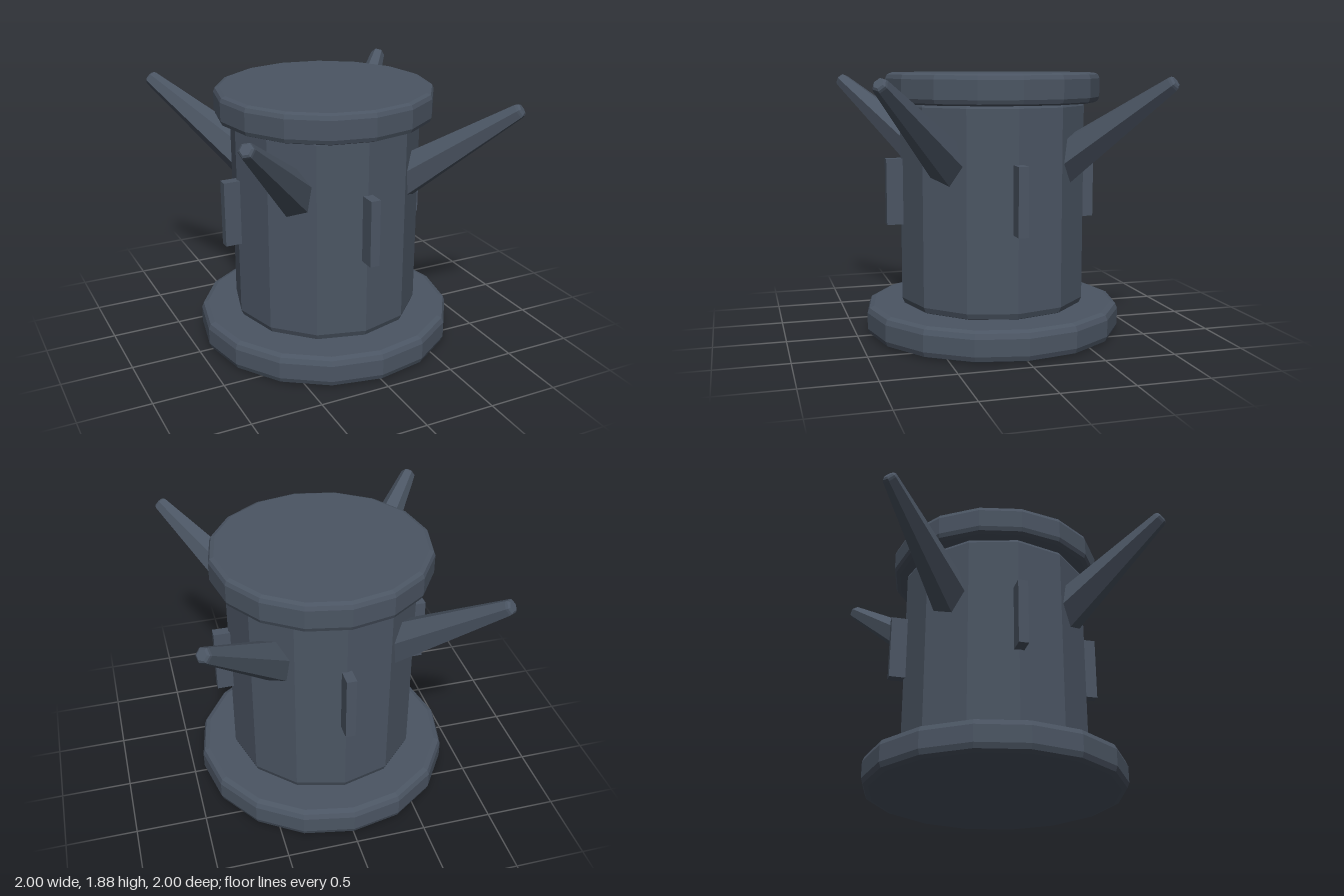
import * as THREE from 'three';

const slate = new THREE.MeshStandardMaterial({ color: 0x4b5563, flatShading: true });
slate.name = 'darkSlate';

function mesh(name, geometry) {
  const m = new THREE.Mesh(geometry, slate);
  m.name = name;
  return m;
}

// Faceted solid from [radius, y] points, bottom to top
function lathe(points, sides) {
  return new THREE.LatheGeometry(points.map(([r, y]) => new THREE.Vector2(r, y)), sides);
}

// Faceted drum with softly bevelled rims
function drum(r, y0, y1, sides, bevel = 0.05) {
  const b = bevel, k = bevel * 0.29;
  return lathe([
    [0, y0], [r - b, y0], [r - k, y0 + k], [r, y0 + b],
    [r, y1 - b], [r - k, y1 - k], [r - b, y1], [0, y1],
  ], sides);
}

export function createModel() {
  const model = new THREE.Group();
  model.name = 'spikedDrum';

  // Stacked drums
  model.add(mesh('base', drum(0.925, 0, 0.217, 16)));
  model.add(mesh('body', drum(0.67, 0.21, 1.7, 12, 0.055)));
  model.add(mesh('lid', drum(0.77, 1.665, 1.875, 16, 0.04)));

  // Four upright fins on the sides
  for (let i = 0; i < 4; i++) {
    const fin = mesh('fin', new THREE.BoxGeometry(0.07, 0.47, 0.175).translate(0, 1.04, 0.69));
    fin.rotation.y = i * Math.PI / 2;
    model.add(fin);
  }

  // Four tapered six-sided spikes leaning out on the diagonals
  const length = 1.064;
  const spike = lathe([
    [0, 0], [0.165, 0], [0.055, length - 0.028], [0.05, length - 0.012], [0.036, length], [0, length],
  ], 6);
  const up = new THREE.Vector3(0, 1, 0);
  for (const sx of [-1, 1]) {
    for (const sz of [-1, 1]) {
      const m = mesh('spike', spike);
      m.position.set(sx * 0.355, 1.207, sz * 0.355);
      m.quaternion.setFromUnitVectors(up, new THREE.Vector3(sx, 1, sz).normalize());
      model.add(m);
    }
  }
  return model;
}
